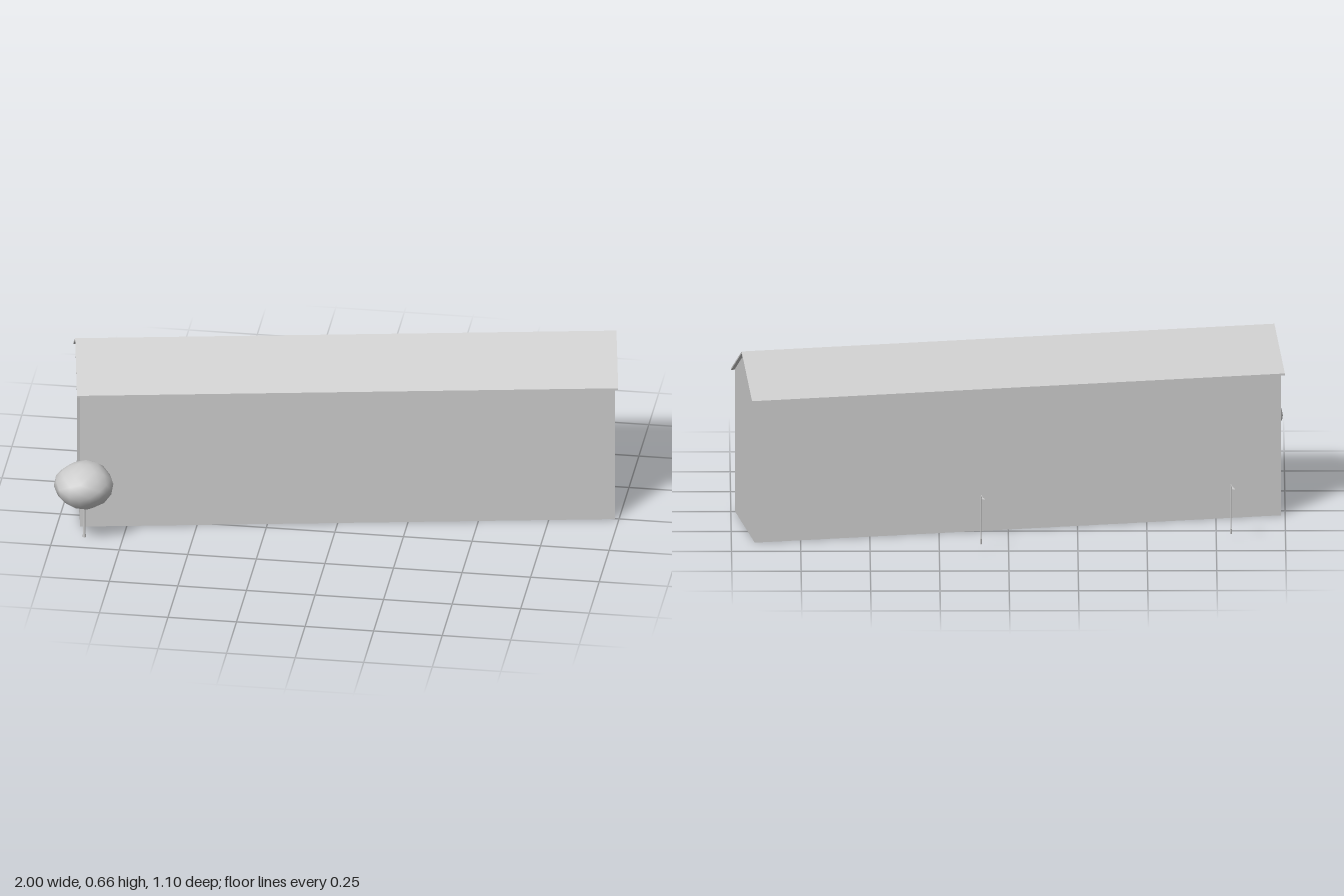
import * as THREE from 'three';
import { mergeVertices } from 'three/addons/utils/BufferGeometryUtils.js';

const material = new THREE.MeshStandardMaterial({ color: 0xcccccc });
const thinMaterial = new THREE.MeshStandardMaterial({ color: 0xcccccc, side: THREE.DoubleSide });
const TURN = THREE.MathUtils.degToRad(10);

function add(parent, name, geometry, x = 0, y = 0, z = 0, mat = material) {
  const mesh = new THREE.Mesh(geometry, mat);
  mesh.name = name;
  mesh.position.set(x, y, z);
  parent.add(mesh);
  return mesh;
}

function polygon(points) {
  return new THREE.Shape(points.map(([x, y]) => new THREE.Vector2(x, y)));
}

// Long open-bottomed shell with a thin gabled roof
function createBuilding() {
  const building = new THREE.Group();
  building.name = 'building';
  const length = 1.93, half = 0.2, eave = 0.537, apex = 0.655;

  const gable = new THREE.ShapeGeometry(polygon([[-half, 0], [half, 0], [half, eave], [0, apex], [-half, eave]]));
  for (const side of [-1, 1]) {
    const end = add(building, 'gableWall', gable, side * length / 2, 0, 0, thinMaterial);
    end.rotation.y = side * Math.PI / 2;
    const wall = add(building, 'longWall', new THREE.PlaneGeometry(length, eave), 0, eave / 2, side * half, thinMaterial);
    wall.rotation.y = side > 0 ? 0 : Math.PI;
  }

  const roofLength = 1.954;
  const roofShape = polygon([[-0.212, 0.53], [0, 0.655], [0.212, 0.53], [0.212, 0.537], [0, 0.662], [-0.212, 0.537]]);
  const roof = new THREE.ExtrudeGeometry(roofShape, { depth: roofLength, bevelEnabled: false });
  roof.translate(0, 0, -roofLength / 2).rotateY(Math.PI / 2);
  add(building, 'roof', roof);

  building.position.z = -0.026;
  building.rotation.y = TURN;
  return building;
}

// Crown: a squashed ball with a few lobes pushed out
function crownGeometry() {
  let geometry = new THREE.IcosahedronGeometry(1, 2);
  geometry.deleteAttribute('uv');
  geometry.deleteAttribute('normal');
  geometry = mergeVertices(geometry, 1e-3);
  const lobes = [
    [-0.5, 0.2, 0.85, 0.16], [-0.95, 0.3, 0.1, 0.1], [0.95, 0.0, -0.1, 0.06],
    [0.3, 0.9, -0.3, 0.06], [0.1, 0.0, -1, 0.06],
  ].map(([x, y, z, push]) => ({ dir: new THREE.Vector3(x, y, z).normalize(), push }));
  const p = geometry.attributes.position;
  const v = new THREE.Vector3();
  for (let i = 0; i < p.count; i++) {
    v.fromBufferAttribute(p, i).normalize();
    let r = 0.97 + 0.035 * Math.sin(v.x * 5 + v.y * 7) * Math.cos(v.z * 6 - v.y * 3);
    for (const { dir, push } of lobes) r += push * Math.max(0, v.dot(dir)) ** 8;
    p.setXYZ(i, v.x * r * 0.104, v.y * r * 0.086, v.z * r * 0.108);
  }
  geometry.computeVertexNormals();
  return geometry;
}

function createTree() {
  const tree = new THREE.Group();
  tree.name = 'tree';
  add(tree, 'trunkBase', new THREE.CylinderGeometry(0.004, 0.006, 0.04, 8), 0, 0.03, 0);
  add(tree, 'trunk', new THREE.CylinderGeometry(0.004, 0.0045, 0.14, 8), 0, 0.11, 0);
  add(tree, 'crown', crownGeometry(), 0, 0.222, 0.004);
  tree.position.set(-0.887, 0, 0.434);
  return tree;
}

// Street lamp with its arm reaching away from the building
function createLamp(x, y, z) {
  const lamp = new THREE.Group();
  lamp.name = 'streetLamp';
  add(lamp, 'lampBase', new THREE.CylinderGeometry(0.0035, 0.0035, 0.02, 8), 0, 0.01, 0);
  add(lamp, 'lampPole', new THREE.CylinderGeometry(0.0016, 0.0022, 0.185, 8), 0, 0.0925, 0);
  add(lamp, 'lampArm', new THREE.BoxGeometry(0.0025, 0.0025, 0.04), 0, 0.184, -0.019);
  add(lamp, 'lampHead', new THREE.BoxGeometry(0.009, 0.005, 0.021), 0, 0.182, -0.046);
  lamp.position.set(x, y, z);
  lamp.rotation.y = TURN;
  return lamp;
}

export function createModel() {
  const model = new THREE.Group();
  model.name = 'longHouse';
  model.add(createBuilding(), createTree());
  model.add(createLamp(0.1, 0.025, -0.495), createLamp(-0.803, 0.022, -0.362));
  return model;
}
